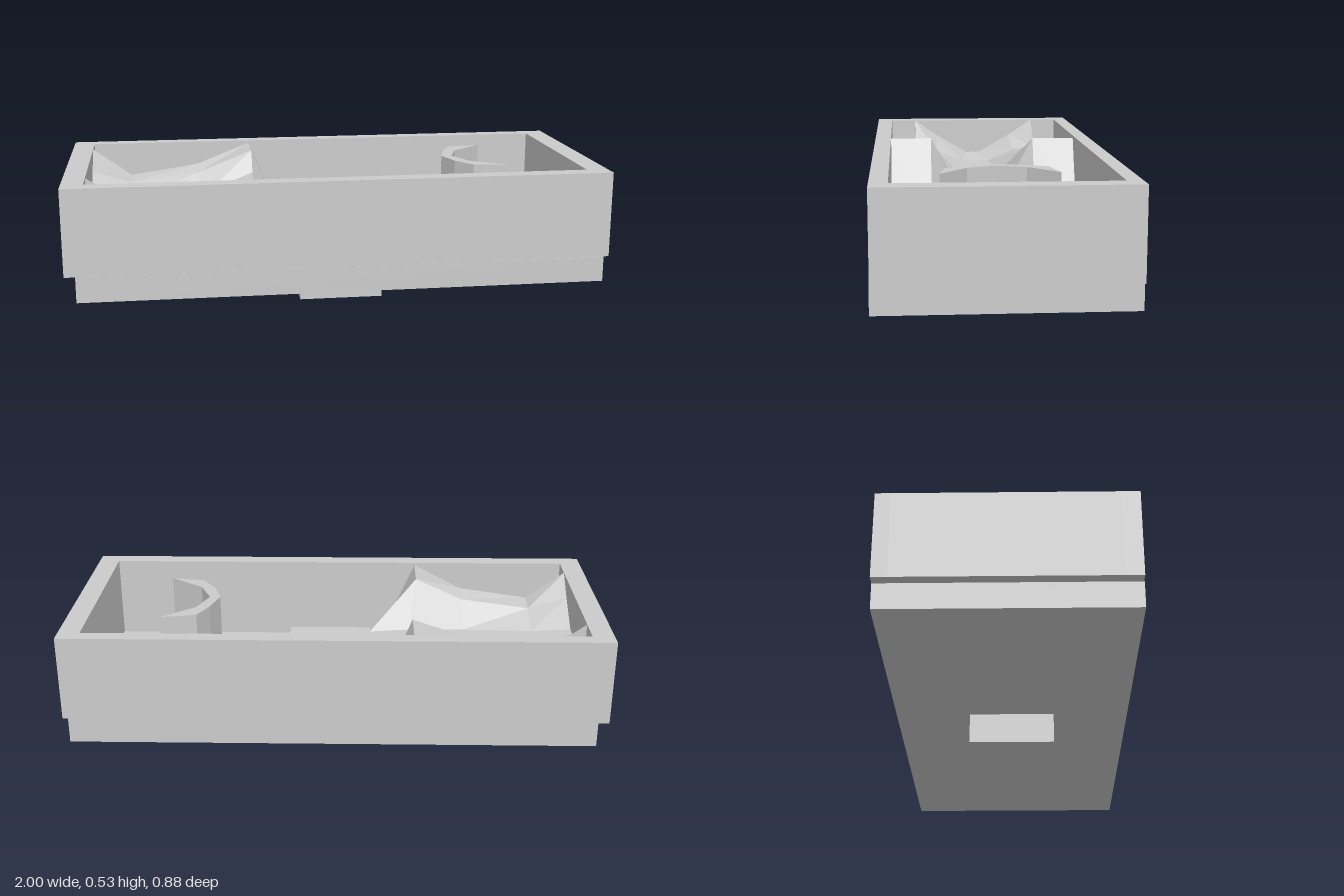
import * as THREE from 'three';

const material = new THREE.MeshStandardMaterial({ color: 0xcccccc, flatShading: true });
const thinMaterial = new THREE.MeshStandardMaterial({ color: 0xcccccc, flatShading: true, side: THREE.DoubleSide });
const FLOOR = 0.21, RIM = 0.53;

// Box given by its limits on each axis
function box(name, [x0, x1], [y0, y1], [z0, z1]) {
  const mesh = new THREE.Mesh(new THREE.BoxGeometry(x1 - x0, y1 - y0, z1 - z0), material);
  mesh.position.set((x0 + x1) / 2, (y0 + y1) / 2, (z0 + z1) / 2);
  mesh.name = name;
  return mesh;
}

// Valley terrain lofted through cross-sections from the end wall to the platform
function valley() {
  // x, crest z, crest y, shoulder z, shoulder y, foot z, foot y, front x shift
  const stations = [
    [-0.92, 0.275, 0.53, 0.17, 0.46, 0.03, 0.38, 0],
    [-0.77, 0.275, 0.42, 0.18, 0.41, 0.06, 0.36, 0],
    [-0.5, 0.275, 0.46, 0.2, 0.44, 0.093, 0.35, 0],
    [-0.285, 0.385, 0.52, 0.215, 0.52, 0.115, 0.34, -0.03],
    [-0.155, 0.385, FLOOR, 0.215, FLOOR, 0.115, 0.33, -0.025],
  ];
  const rows = stations.map(([x, cz, cy, sz, sy, fz, fy, shift], i) => {
    const footX = i === 4 ? -0.13 : x;
    const half = [[x, FLOOR, cz], [x, cy, cz], [x, sy, sz], [footX, fy, fz]];
    const back = half.map(([px, py, pz]) => [px, py, -pz]);
    const front = half.map(([px, py, pz], k) => [px + (k < 3 ? shift : 0), py, pz * 0.975]);
    return [...back, ...front.reverse()];
  });
  const positions = [];
  for (let i = 0; i < rows.length - 1; i++) {
    for (let j = 0; j < rows[i].length - 1; j++) {
      const a = rows[i][j], b = rows[i][j + 1], c = rows[i + 1][j], d = rows[i + 1][j + 1];
      positions.push(...a, ...b, ...c, ...b, ...d, ...c);
    }
  }
  const geometry = new THREE.BufferGeometry();
  geometry.setAttribute('position', new THREE.Float32BufferAttribute(positions, 3));
  geometry.computeVertexNormals();
  const mesh = new THREE.Mesh(geometry, thinMaterial);
  mesh.name = 'valleyTerrain';
  return mesh;
}

// Upright crescent screen, open toward +x
function crescent() {
  const outline = [
    [0.66, -0.21], [0.525, -0.185], [0.485, -0.1], [0.455, 0], [0.485, 0.1], [0.54, 0.18], [0.67, 0.205],
    [0.54, 0.105], [0.495, 0], [0.535, -0.105],
  ];
  const shape = new THREE.Shape(outline.map(([x, z]) => new THREE.Vector2(x, -z)));
  const geometry = new THREE.ExtrudeGeometry(shape, { depth: 0.52 - FLOOR, bevelEnabled: false });
  geometry.rotateX(-Math.PI / 2);
  const mesh = new THREE.Mesh(geometry, material);
  mesh.position.y = FLOOR;
  mesh.name = 'crescentScreen';
  return mesh;
}

export function createModel() {
  const group = new THREE.Group();
  group.name = 'terrainTray';

  // Base slab and the block passing through it
  group.add(
    box('baseSlab', [-0.96, 0.98], [0.115, FLOOR], [-0.44, 0.44]),
    box('footBlock', [-0.13, 0.19], [0, 0.115], [-0.16, 0.16]),
    box('centrePlatform', [-0.13, 0.19], [FLOOR, 0.33], [-0.16, 0.155]),
  );

  // Surrounding walls
  const wallY = [FLOOR, RIM];
  group.add(
    box('backWall', [-1, 1], wallY, [-0.44, -0.385]),
    box('frontWall', [-1, 1], wallY, [0.375, 0.438]),
    box('rightEndWall', [-1, -0.92], wallY, [-0.385, 0.375]),
    box('leftEndWall', [0.92, 1], wallY, [-0.385, 0.375]),
  );

  group.add(valley(), crescent());
  return group;
}
